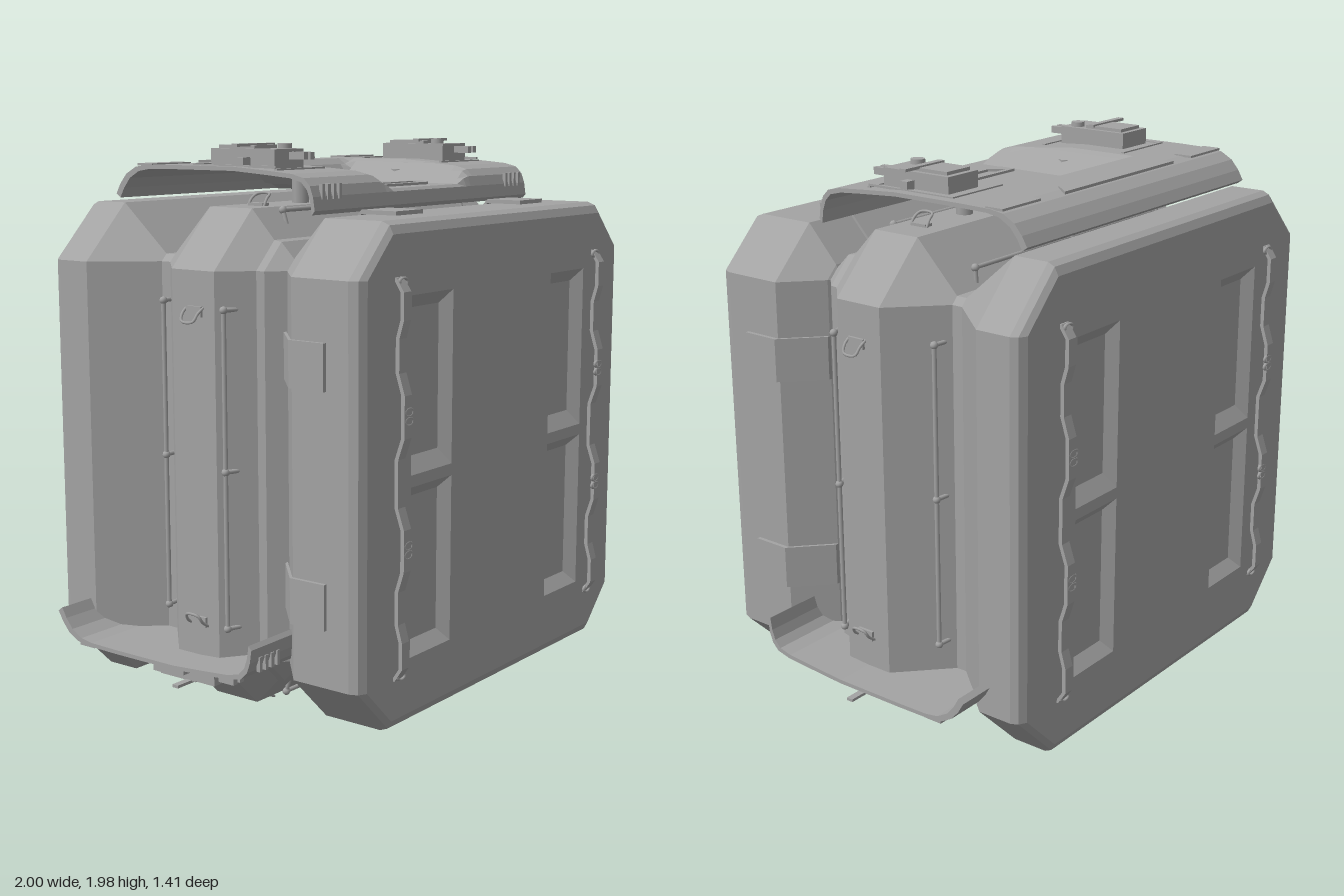
import * as THREE from 'three';

const CY = 0.91;  // height of the body's centre
const FLAT = 0.665;  // half length of each straight side of the octagon
const metal = new THREE.MeshStandardMaterial({ color: 0xa3a3a3 });
metal.name = 'grey metal';

function add(parent, name, geometry, x = 0, y = 0, z = 0) {
  const m = new THREE.Mesh(geometry, metal);
  m.name = name;
  m.position.set(x, y, z);
  parent.add(m);
  return m;
}
function group(parent, name) {
  const g = new THREE.Group();
  g.name = name;
  if (parent) parent.add(g);
  return g;
}
const box = (parent, name, w, h, d, x, y, z) => add(parent, name, new THREE.BoxGeometry(w, h, d), x, y, z);

// Faceted skin through closed rings of [x, y, z] points, with optional end caps
function loft(rings, capStart, capEnd) {
  const pos = [], n = rings[0].length;
  const quad = (a, b, c, d) => pos.push(...a, ...b, ...c, ...a, ...c, ...d);
  for (let i = 0; i < rings.length - 1; i++) {
    const a = rings[i], b = rings[i + 1];
    for (let j = 0; j < n; j++) quad(a[j], a[(j + 1) % n], b[(j + 1) % n], b[j]);
  }
  const s = rings[0], e = rings[rings.length - 1];
  for (let j = 0; j < n / 2 - 1; j++) {
    const k = n - 1 - j;
    if (capStart) quad(s[k], s[k - 1], s[j + 1], s[j]);
    if (capEnd) quad(e[j], e[j + 1], e[k - 1], e[k]);
  }
  const g = new THREE.BufferGeometry();
  g.setAttribute('position', new THREE.Float32BufferAttribute(pos, 3));
  g.computeVertexNormals();
  return g;
}

// Bent strip: path in (p, q), extruded by width, then laid along the given axes
function strip(path, thickness, width, px, qx, ex) {
  const back = path.map(([p, q]) => [p, q - thickness]).reverse();
  const shape = new THREE.Shape([...path, ...back].map(([p, q]) => new THREE.Vector2(p, q)));
  const g = new THREE.ExtrudeGeometry(shape, { depth: width, bevelEnabled: false });
  g.translate(0, 0, -width / 2);
  return g.applyMatrix4(new THREE.Matrix4().makeBasis(px, qx, ex));
}
function rod(parent, name, a, b, r) {
  const curve = new THREE.LineCurve3(new THREE.Vector3(...a), new THREE.Vector3(...b));
  return add(parent, name, new THREE.TubeGeometry(curve, 1, r, 8));
}

const octagon = (h) => [[h, -FLAT], [h, FLAT], [FLAT, h], [-FLAT, h], [-h, FLAT], [-h, -FLAT], [-FLAT, -h], [FLAT, -h]];
const rect = (x0, x1, y0, y1, z) => [[x0, y0, z], [x1, y0, z], [x1, y1, z], [x0, y1, z]];

// Flat end of a slab with four sunken panels and two wavy grab bars
function slabFace(parent, name, z, h) {
  const g = group(parent, name);
  const shape = new THREE.Shape(octagon(h).map(([x, y]) => new THREE.Vector2(x, y + CY)));
  for (const s of [-1, 1]) {
    for (const [o0, o1, f0, f1] of [[0.92, 1.51, 0.975, 1.465], [0.30, 0.88, 0.345, 0.84]]) {
      const xs = (a, b) => (s > 0 ? [a, b] : [-b, -a]);
      const open = rect(...xs(0.32, 0.56), o0, o1, z);
      const floor = rect(...xs(0.355, 0.52), f0, f1, z - 0.035);
      shape.holes.push(new THREE.Path(open.map((p) => new THREE.Vector2(p[0], p[1]))));
      add(g, 'sunkenPanel', loft([open, floor], false, true));
    }
    const half = [[0.665, 0.005], [0.62, 0.035], [0.53, 0.035], [0.47, 0.018], [0.36, 0.018], [0.29, 0.04], [0.15, 0.04], [0.08, 0.016]];
    const path = [...half.map(([y, o]) => [-y, o]), ...half.slice().reverse()];
    const geo = strip(path, 0.014, 0.04, new THREE.Vector3(0, 1, 0), new THREE.Vector3(0, 0, 1), new THREE.Vector3(1, 0, 0));
    add(g, 'grabBar', geo, s * 0.635, CY, z);
    for (const y of [-0.65, -0.235, -0.205, 0.205, 0.235, 0.65]) {
      const ring = add(g, 'barRing', new THREE.TorusGeometry(0.018, 0.006, 6, 12), s * 0.627, CY + y, z + (Math.abs(y) > 0.5 ? 0.012 : 0.035));
      ring.scale.set(1.2, 0.7, 1);
    }
  }
  add(g, 'faceSheet', new THREE.ShapeGeometry(shape), 0, 0, z);
  return g;
}

// Clips, rods and clasps carried on one straight side, drawn for the top side
function sideFittings(parent, k) {
  const g = group(parent, 'sideFittings');
  g.position.y = CY;
  g.rotation.z = k * Math.PI / 2;
  const clip = strip([[0.265, 0.725], [0.39, 0.857], [0.53, 0.857]], 0.014, 0.155,
    new THREE.Vector3(0, 0, 1), new THREE.Vector3(0, 1, 0), new THREE.Vector3(-1, 0, 0));
  for (const s of [-1, 1]) {
    add(g, 'slabClip', clip, s * 0.39);
    const u = [[0.545, 0.855, -0.035], [0.525, 0.885, -0.033], [0.5, 0.9, -0.025], [0.5, 0.9, 0.025], [0.525, 0.885, 0.033], [0.545, 0.855, 0.035]];
    const curve = new THREE.CatmullRomCurve3(u.map(([x, y, z]) => new THREE.Vector3(s * x, y, z)));
    add(g, 'claspLoop', new THREE.TubeGeometry(curve, 20, 0.005, 6));
    box(g, 'claspBase', 0.035, 0.014, 0.065, s * 0.53, 0.863, 0);
  }
  for (const [z, r, zFoot, rFoot] of [[0.115, 0.85, 0.135, 0.79], [-0.24, 0.755, -0.245, 0.69]]) {
    rod(g, 'sideRod', [-0.545, r, z], [0.545, r, z], 0.008);
    for (const x of [-0.54, 0, 0.54]) {
      rod(g, 'rodPost', [x, rFoot, zFoot], [x, r, z], 0.008);
      add(g, 'rodKnob', new THREE.SphereGeometry(0.014, 8, 6), x, r, z);
    }
  }
}

// Small instrument block with a dial, arm and pins
function deviceBox(parent, s) {
  const g = group(parent, 'deviceBox');
  g.position.set(s * 0.505, 1.9, -0.025);
  box(g, 'deviceBody', 0.155, 0.065, 0.28, 0, 0.03, 0);
  box(g, 'deviceLid', 0.12, 0.012, 0.16, 0, 0.068, -0.04);
  box(g, 'deviceArm', 0.2, 0.01, 0.025, s * 0.03, 0.075, 0.01);
  add(g, 'deviceDial', new THREE.CylinderGeometry(0.025, 0.025, 0.02, 16), -s * 0.04, 0.07, 0.09);
  for (const x of [0.01, 0.045]) box(g, 'devicePlug', 0.02, 0.025, 0.09, x, 0.04, 0.16);
  box(g, 'deviceLatch', 0.04, 0.03, 0.03, s * 0.095, 0.02, 0.02);
}

// Curved cover with turned-down ends; the middle is dished and open to the front
function coverPlate(parent, name, x0, x1) {
  const g = group(parent, name);
  const profile = [[-0.545, 1.8], [-0.525, 1.835], [-0.495, 1.87], [-0.45, 1.895], [-0.4, 1.903], [-0.27, 1.905], [-0.24, 1.905],
    [-0.21, 1.905], [-0.18, 1.905], [0, 1.905], [0.15, 1.895], [0.25, 1.887], [0.3, 1.875], [0.325, 1.85], [0.338, 1.815], [0.345, 1.77]];
  const ramp = (t) => THREE.MathUtils.smoothstep(t, 0, 1);
  const inner = [-0.34, -0.31, -0.28, -0.25, -0.21, 0.21, 0.25, 0.28, 0.31, 0.34];
  const xs = [x0, ...inner.filter((x) => x > x0 && x < x1), x1];
  add(g, 'coverSheet', loft(xs.map((x) => {
    const top = profile.map(([z, y]) => {
      const dish = 0.08 * Math.min(ramp((0.34 - Math.abs(x)) / 0.13), ramp((z + 0.27) / 0.09));
      return [x, Math.min(y, 1.905 - dish), z];
    });
    const under = top.map(([, y, z]) => [x, y - 0.014, z * 0.965]).reverse();
    return [...top, ...under];
  }), true, true));
  for (const s of [-1, 1]) {
    if (s * 0.5 < x0 || s * 0.5 > x1) continue;
    deviceBox(g, s);
    box(g, 'rearPad', 0.2, 0.008, 0.07, s * 0.555, 1.904, -0.41);
    // raised frame around the device
    for (const z of [-0.21, 0.15]) box(g, 'deviceFrame', 0.26, 0.008, 0.012, s * 0.49, z > 0 ? 1.896 : 1.906, z);
    box(g, 'deviceFrame', 0.012, 0.008, 0.36, s * 0.615, 1.905, -0.03);
    for (let i = 0; i < 4; i++) box(g, 'lipRib', 0.014, 0.05, 0.014, s * (0.52 + i * 0.03), 1.83, 0.337);
  }
  return g;
}

export function createModel() {
  const model = group(null, 'container');

  // Two slabs and the ridge between them
  const sections = [[-0.67, 0.82], [-0.655, 0.848], [-0.63, 0.86], [-0.5, 0.86], [-0.305, 0.69], [-0.265, 0.69], [-0.1, 0.86], [0.085, 0.86],
    [0.18, 0.76], [0.21, 0.755], [0.265, 0.70], [0.27, 0.71], [0.39, 0.84], [0.615, 0.84], [0.645, 0.828], [0.66, 0.80]];
  add(model, 'bodyShell', loft(sections.map(([z, h]) => octagon(h).map(([x, y]) => [x, y + CY, z]))));
  slabFace(model, 'frontFace', 0.66, 0.80);
  slabFace(model, 'backFace', 0.67, 0.82).rotation.y = Math.PI;
  for (let k = 0; k < 4; k++) sideFittings(model, k);

  // Top cover with its front handle and rear panel
  const top = coverPlate(model, 'topCover', -0.66, 0.66);
  const grip = new THREE.Shape([[-0.18, 0], [0.18, 0], [0.18, 0.06], [0.13, 0.1], [-0.13, 0.1], [-0.18, 0.06]].map((p) => new THREE.Vector2(...p)));
  grip.holes.push(new THREE.Path([[-0.15, 0.02], [-0.11, 0.07], [0.11, 0.07], [0.15, 0.02]].map((p) => new THREE.Vector2(...p))));
  const gripGeo = new THREE.ExtrudeGeometry(grip, { depth: 0.012, bevelEnabled: false });
  add(top, 'frontGrip', gripGeo, 0, 1.834, 0.15).rotation.x = Math.PI / 2;
  const panel = new THREE.Shape([[-0.33, 0.45], [-0.27, 0.38], [0.27, 0.38], [0.33, 0.45]].map((p) => new THREE.Vector2(...p)));
  const panelGeo = new THREE.ExtrudeGeometry(panel, { depth: 0.01, bevelEnabled: false });
  add(top, 'rearPanel', panelGeo, 0, 1.9, 0).rotation.x = -Math.PI / 2;
  for (const s of [-1, 1]) rod(top, 'coverMount', [s * 0.3, 1.75, 0], [s * 0.3, 1.87, 0], 0.03);

  // Lower covers: upside down, tucked into the sides
  for (const s of [-1, 1]) {
    const lower = coverPlate(model, s > 0 ? 'lowerCoverLeft' : 'lowerCoverRight', s > 0 ? -0.66 : 0.3, s > 0 ? -0.3 : 0.66);
    lower.rotation.z = Math.PI;
    lower.position.set(s * 0.34, 2.15, 0);
  }
  return model;
}
